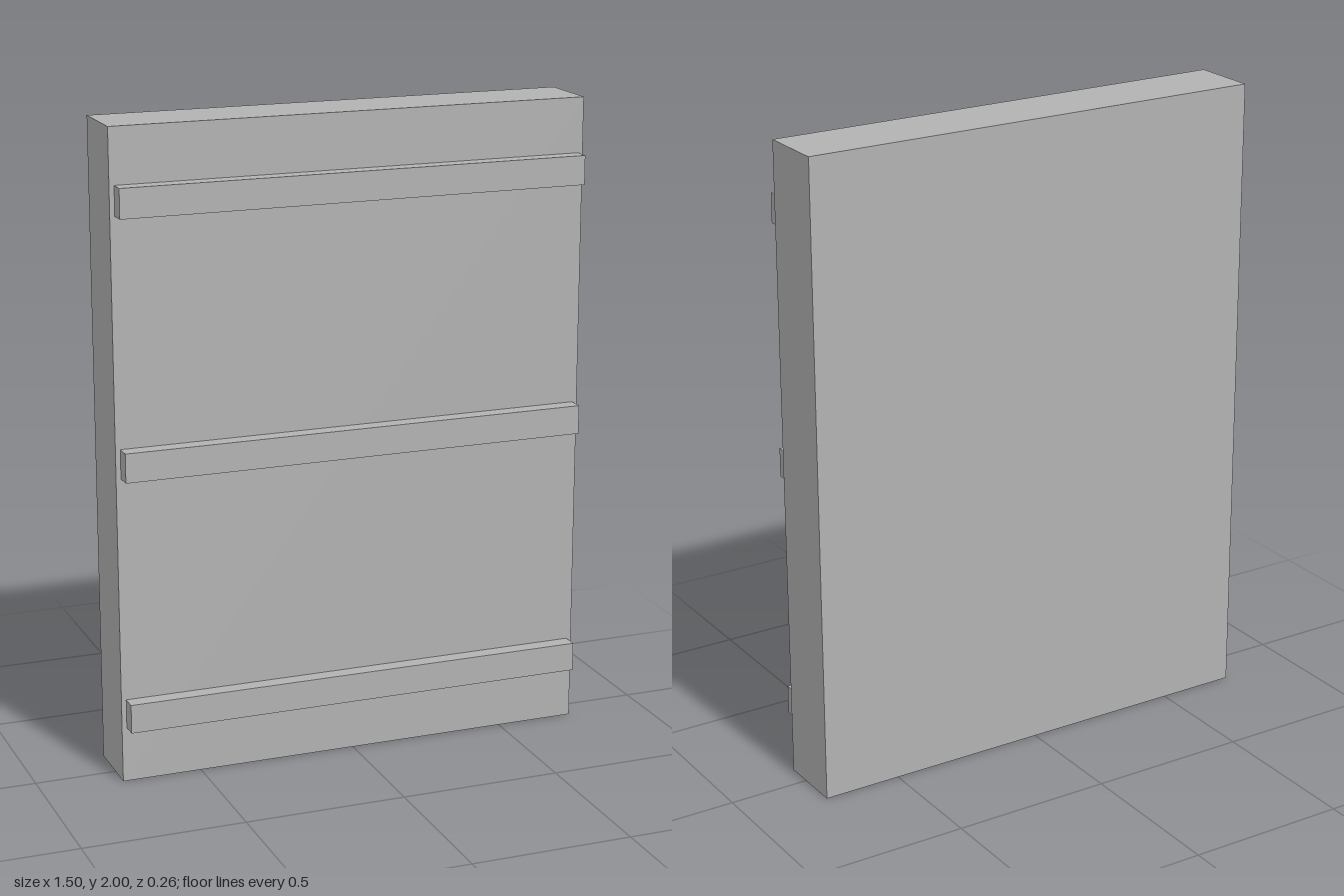
import * as THREE from 'three';

export function createModel() {
  const group = new THREE.Group();
  const grey = new THREE.MeshStandardMaterial({ color: 0xb2b2b2 });
  grey.name = 'grey';

  const addBox = (name, width, height, depth, y, z) => {
    const mesh = new THREE.Mesh(new THREE.BoxGeometry(width, height, depth), grey);
    mesh.name = name;
    mesh.position.set(0, y, z);
    group.add(mesh);
  };

  // Main upright slab
  addBox('panel', 1.496, 2, 0.212, 1, -0.025);

  // Three horizontal battens fixed to the front face
  const names = ['lowerRail', 'middleRail', 'upperRail'];
  names.forEach((name, i) => addBox(name, 1.466, 0.09, 0.05, 0.217 + i * 0.784, 0.106));

  return group;
}
